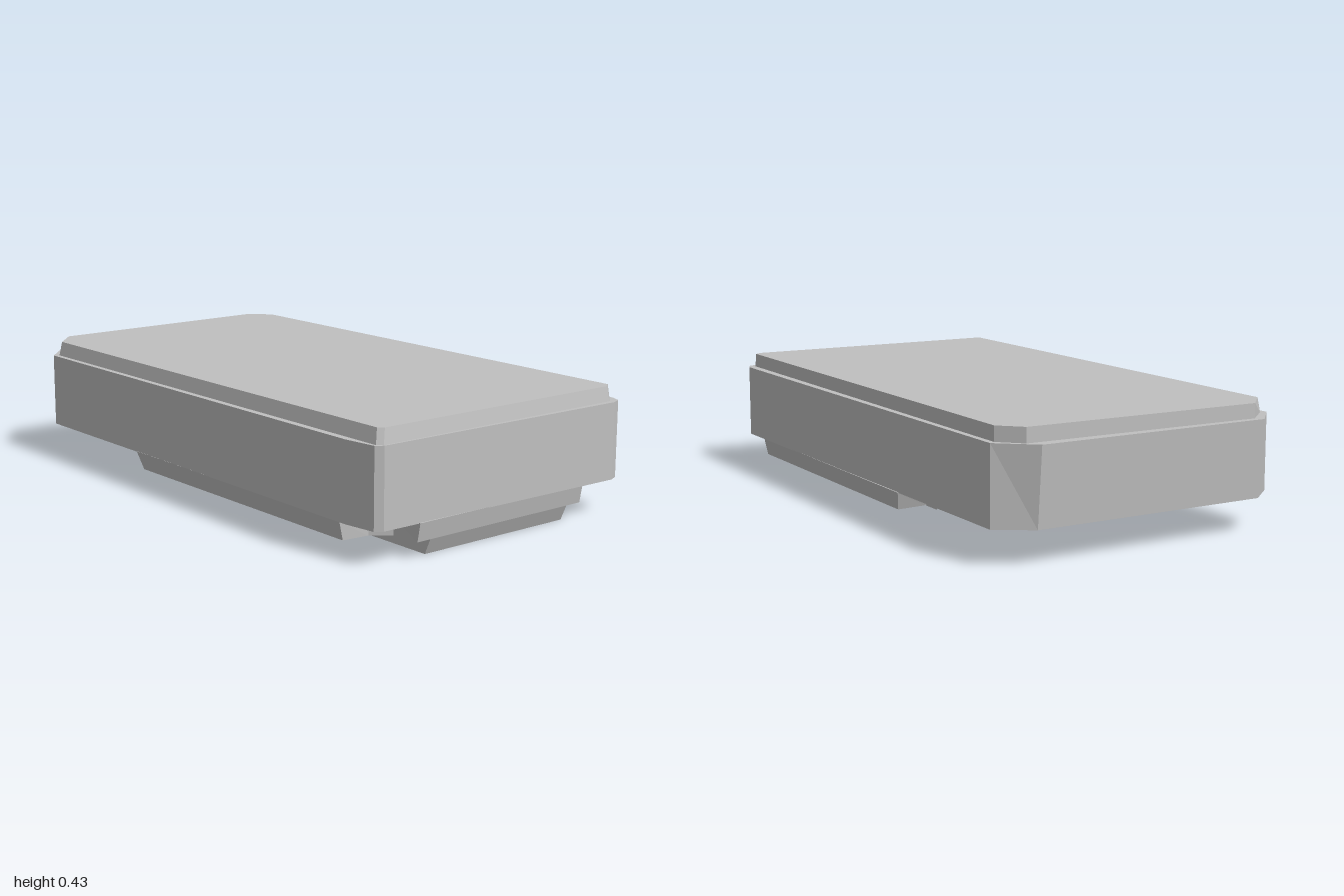
import * as THREE from 'three';

// Prism from an (x, z) outline hanging down from yTop; `shift` moves its lower vertices.
function slab(name, material, outline, yTop, height, shift, holes = []) {
  const toPoints = (list) => list.map(([x, z]) => new THREE.Vector2(x, z));
  const shape = new THREE.Shape(toPoints(outline));
  for (const hole of holes) shape.holes.push(new THREE.Path(toPoints(hole)));
  const geometry = new THREE.ExtrudeGeometry(shape, { depth: height, bevelEnabled: false });
  geometry.rotateX(Math.PI / 2);
  const p = geometry.attributes.position;
  for (let i = 0; i < p.count; i++) {
    if (p.getY(i) < -height / 2) {
      const [x, z] = shift(p.getX(i), p.getZ(i));
      p.setX(i, x);
      p.setZ(i, z);
    }
  }
  geometry.computeVertexNormals();
  const mesh = new THREE.Mesh(geometry, material);
  mesh.name = name;
  mesh.position.y = yTop;
  return mesh;
}

// Completes an outline by mirroring its front half (z > 0) to the back.
const mirrored = (half) => [...half, ...half.filter(([, z]) => z > 0).reverse().map(([x, z]) => [x, -z])];

export function createModel() {
  const group = new THREE.Group();
  const grey = new THREE.MeshStandardMaterial({ color: 0xc0c0c0, flatShading: true });
  grey.name = 'lightGrey';

  // Main body with clipped corners, leaning in slightly at the left-hand end
  group.add(slab('body', grey, [
    [-1, -0.41], [-0.9, -0.53], [0.95, -0.54], [0.985, -0.525], [1, -0.49],
    [0.982, 0.5], [0.965, 0.525], [0.85, 0.54], [-0.88, 0.535], [-0.985, 0.44],
  ], 0.38, 0.264, (x, z) => [x < -0.95 ? x + 0.022 : x, z]));

  // Raised lid, its front and right walls sloping out to the body
  group.add(slab('lid', grey, [
    [-0.96, -0.44], [-0.89, -0.51], [0.95, -0.51], [0.97, -0.485],
    [0.965, 0.485], [0.95, 0.503], [-0.87, 0.503], [-0.96, 0.42],
  ], 0.43, 0.055, (x, z) => [x > 0.9 ? x + 0.012 : x, z > 0.45 ? z + 0.014 : z]));

  // Concave curve cut into the end of the lower plates
  const curve = [];
  for (let i = 0; i <= 5; i++) {
    const a = (i / 5) * Math.PI / 2;
    curve.push([-0.18 + 0.12 * Math.sin(a), i === 5 ? 0 : 0.32 * Math.cos(a)]);
  }

  // Lower plate: notched outer corners and four small square holes
  const holes = [];
  for (const x of [0.76, -0.19]) {
    for (const z of [-0.45, 0.45]) {
      const r = 0.024;
      holes.push([[x - r, z - r], [x - r, z + r], [x + r, z + r], [x + r, z - r]]);
    }
  }
  group.add(slab('lowerPlate', grey, mirrored([
    [0.99, 0.36], [0.88, 0.37], [0.83, 0.43], [0.82, 0.538],
    [-0.31, 0.538], [-0.3, 0.42], [-0.25, 0.345], ...curve,
  ]), 0.118, 0.063, (x, z) => [
    x > 0.95 ? x - 0.012 : x < -0.24 ? x + 0.025 : x,
    Math.abs(z) > 0.5 ? z * 0.974 : z,
  ], holes));

  // Bottom plate the model rests on
  group.add(slab('bottomPlate', grey, mirrored([
    [0.975, 0.303], [-0.16, 0.303], ...curve.slice(1),
  ]), 0.056, 0.056, (x, z) => [x > 0.9 ? x - 0.025 : x + 0.015, z]));

  return group;
}
